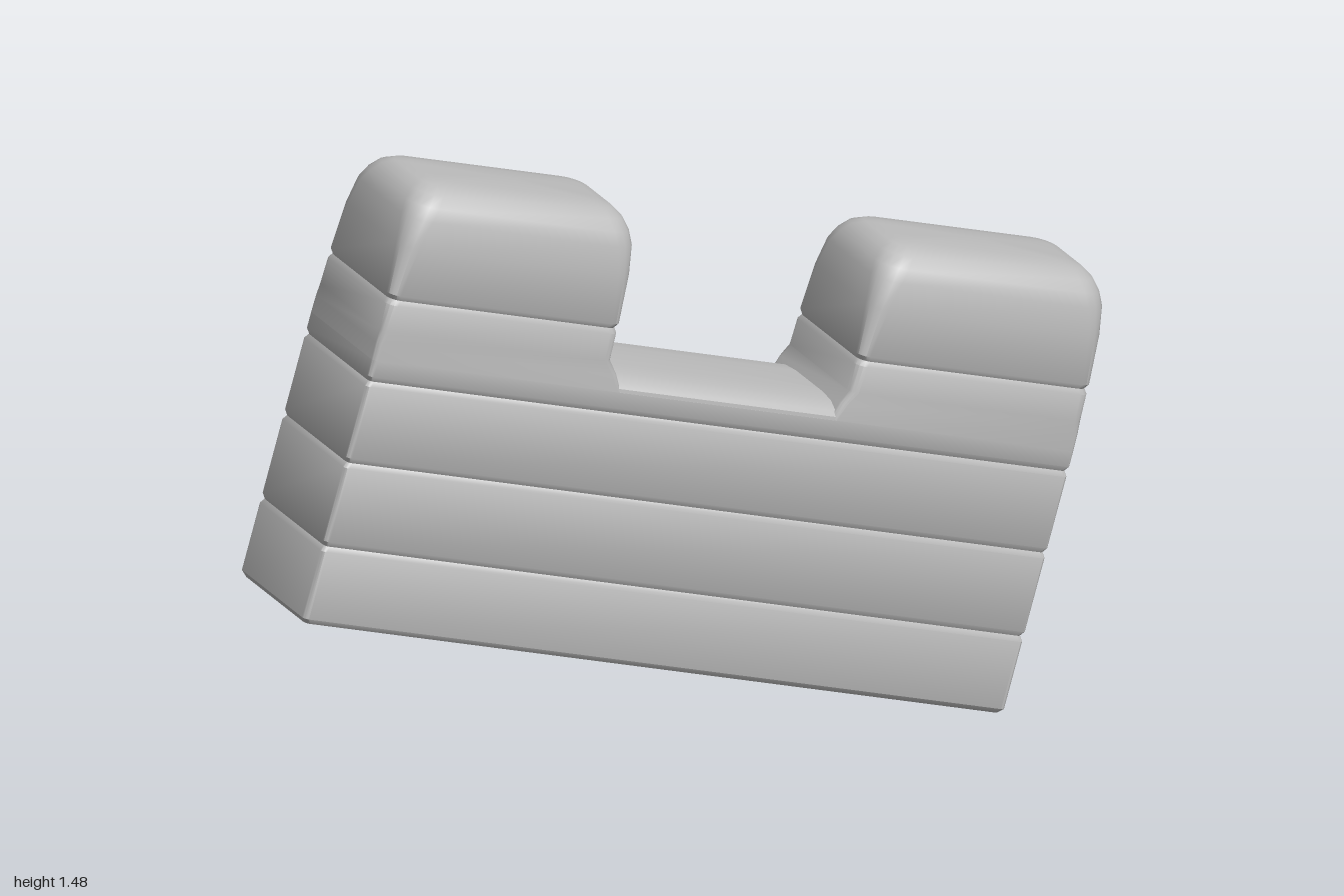
import * as THREE from 'three';
import { toCreasedNormals } from 'three/addons/utils/BufferGeometryUtils.js';

const HALF = 0.172; // half the wall thickness
const ARC = 4;      // segments per rounded corner

// Horizontal rounded rectangle at height y, counter-clockwise from above
function ring([y, x0, x1, halfZ, r]) {
  const pts = [];
  const corners = [[x1 - r, -halfZ + r], [x0 + r, -halfZ + r], [x0 + r, halfZ - r], [x1 - r, halfZ - r]];
  corners.forEach(([cx, cz], c) => {
    for (let i = 0; i <= ARC; i++) {
      const a = (c + i / ARC) * Math.PI / 2;
      pts.push([cx + r * Math.cos(a), y, cz - r * Math.sin(a)]);
    }
  });
  return pts;
}

// Skin a stack of rings and close both ends; topRise domes the lid a little
function loft(name, rows, material, topRise = 0) {
  const rings = rows.map(ring);
  const n = rings[0].length;
  const pos = [];
  const tri = (a, b, c) => pos.push(...a, ...b, ...c);
  for (let k = 0; k < rings.length - 1; k++) {
    for (let i = 0; i < n; i++) {
      const j = (i + 1) % n, lo = rings[k], hi = rings[k + 1];
      tri(lo[i], lo[j], hi[j]);
      tri(lo[i], hi[j], hi[i]);
    }
  }
  const first = rows[0], last = rows[rows.length - 1];
  const bottom = [(first[1] + first[2]) / 2, first[0], 0];
  const top = [(last[1] + last[2]) / 2, last[0] + topRise, 0];
  for (let i = 0; i < n; i++) {
    const j = (i + 1) % n;
    tri(bottom, rings[0][j], rings[0][i]);
    tri(top, rings[rings.length - 1][i], rings[rings.length - 1][j]);
  }
  const geo = new THREE.BufferGeometry();
  geo.setAttribute('position', new THREE.Float32BufferAttribute(pos, 3));
  const mesh = new THREE.Mesh(toCreasedNormals(geo, 0.6), material);
  mesh.name = name;
  return mesh;
}

// Three rings that cut a shallow groove at height y
const groove = (y, x0, x1, r) => [
  [y - 0.012, x0, x1, HALF, r],
  [y, x0 + 0.006, x1 - 0.006, HALF - 0.006, r],
  [y + 0.012, x0, x1, HALF, r],
];

export function createModel() {
  const stone = new THREE.MeshStandardMaterial({ color: 0xbcbcbc });
  const model = new THREE.Group();
  model.name = 'battlement';

  // The wall leans over and is turned very slightly
  const wall = new THREE.Group();
  wall.name = 'wall';
  wall.position.set(-1, 0.5, 0.014);
  wall.rotation.set(0, 0.019, -0.281);
  model.add(wall);

  // Grooved lower courses
  wall.add(loft('lowerCourses', [
    [0, 0.01, 1.795, HALF - 0.008, 0.012],
    [0.012, 0, 1.805, HALF, 0.012],
    ...[0.185, 0.385, 0.58].flatMap((y) => groove(y, 0, 1.805, 0.012)),
    [0.63, 0, 1.805, HALF, 0.012],
  ], stone));

  // Softly rounded floor of the gap
  wall.add(loft('gapFloor', [
    [0.62, 0.55, 1.28, HALF, 0.012],
    [0.638, 0.55, 1.28, HALF - 0.002, 0.012],
    [0.652, 0.55, 1.28, HALF - 0.015, 0.012],
    [0.662, 0.55, 1.28, HALF - 0.05, 0.012],
    [0.666, 0.55, 1.28, HALF - 0.1, 0.012],
  ], stone));

  // Upright blocks with pillowed tops; the gap side is base0/base1 at the foot
  const merlon = (name, base0, base1, x0, x1, rise) => loft(name, [
    [0.63, base0, base1, HALF, 0.012],
    [0.67, (base0 + x0) / 2, (base1 + x1) / 2, HALF, 0.014],
    [0.70, x0, x1, HALF, 0.02],
    ...groove(0.775, x0, x1, 0.025),
    [0.90, x0, x1, HALF - 0.002, 0.04],
    [0.965, x0 + 0.004, x1 - 0.004, HALF - 0.006, 0.055],
    [0.995, x0 + 0.013, x1 - 0.013, HALF - 0.017, 0.06],
    [1.02, x0 + 0.03, x1 - 0.03, HALF - 0.036, 0.055],
    [1.035, x0 + 0.052, x1 - 0.052, HALF - 0.065, 0.045],
    [1.04, x0 + 0.08, x1 - 0.08, HALF - 0.1, 0.03],
  ], stone, rise);
  wall.add(merlon('rightMerlon', 0, 0.64, 0, 0.595, 0.006));
  wall.add(merlon('leftMerlon', 1.18, 1.805, 1.208, 1.805, 0.008));

  return model;
}
